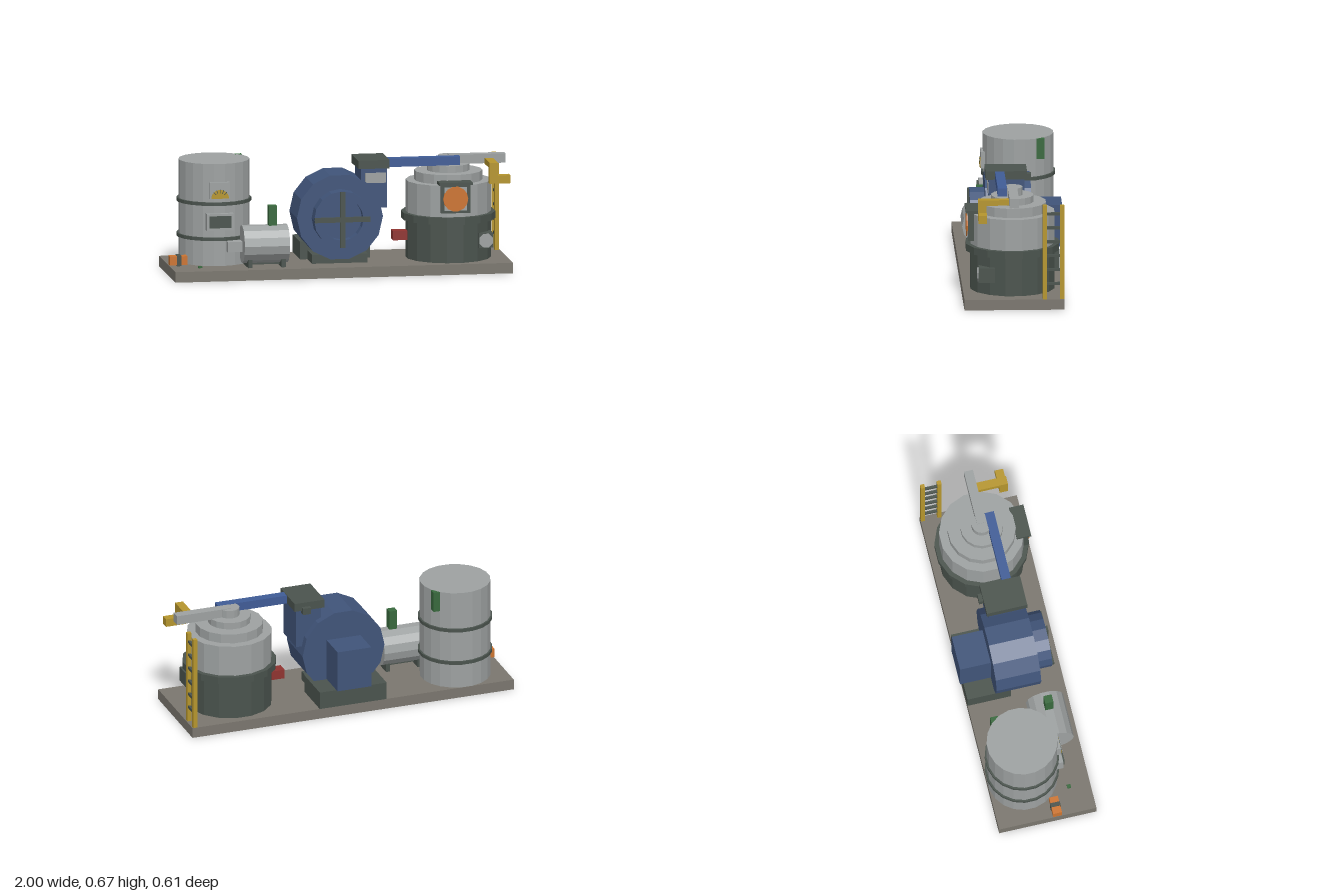
import * as THREE from 'three';

const mat = (name, color) => {
  const m = new THREE.MeshStandardMaterial({ color });
  m.name = name;
  return m;
};

export function createModel() {
  const root = new THREE.Group();
  root.name = 'processSkid';
  const grey = mat('paleGrey', 0x9da1a1), dark = mat('darkGreenGrey', 0x4a534d);
  const navy = mat('motorBlue', 0x405479), blue = mat('pipeBlue', 0x405c96);
  const stone = mat('baseGrey', 0x7a766e), yellow = mat('yellow', 0xb5952d);
  const orange = mat('orange', 0xcc7430), red = mat('red', 0x8f3330);
  const green = mat('green', 0x38693d);

  const add = (name, geometry, material) => {
    const g = geometry.index ? geometry.toNonIndexed() : geometry;
    g.computeVertexNormals(); // faceted look
    const mesh = new THREE.Mesh(g, material);
    mesh.name = name;
    root.add(mesh);
    return mesh;
  };
  // Box from its lower and upper corner
  const box = (name, m, [x0, y0, z0], [x1, y1, z1]) =>
    add(name, new THREE.BoxGeometry(x1 - x0, y1 - y0, z1 - z0)
      .translate((x0 + x1) / 2, (y0 + y1) / 2, (z0 + z1) / 2), m);
  // Upright drum between two heights
  const drum = (name, m, x, z, r, y0, y1, n) =>
    add(name, new THREE.CylinderGeometry(r, r, y1 - y0, n, 1, false, Math.PI / n)
      .translate(x, (y0 + y1) / 2, z), m);
  // Drum along z between two depths
  const disc = (name, m, x, y, r, z0, z1, n) =>
    add(name, new THREE.CylinderGeometry(r, r, z1 - z0, n, 1, false, Math.PI / n)
      .rotateX(Math.PI / 2).translate(x, y, (z0 + z1) / 2), m);

  // Skid base: deck on a frame, open underneath
  const zb = -0.282, zf = 0.303, deck = 0.062;
  box('deck', stone, [-1, 0.045, zb], [1, deck, zf]);
  for (const [a, b] of [[zb, zb + 0.025], [zf - 0.025, zf]])
    box('sideSkirt', stone, [-1, 0, a], [1, 0.045, b]);
  for (const x of [-0.9875, -0.33, 0.33, 0.9875])
    box('crossBeam', stone, [x - 0.0125, 0, zb + 0.025], [x + 0.0125, 0.045, zf - 0.025]);

  // Tall tank with bands
  const tx = -0.71, tz = -0.075;
  drum('tallTank', grey, tx, tz, 0.208, deck, 0.667, 20);
  for (const y of [0.222, 0.43]) drum('tankBand', dark, tx, tz, 0.219, y - 0.01, y + 0.01, 20);
  box('tankSwitchBox', green, [-0.565, 0.545, -0.222], [-0.523, 0.667, -0.175]);

  // Gauge with a half dial
  box('gaugePanel', grey, [-0.77, 0.462, 0.1], [-0.65, 0.56, 0.145]);
  const half = new THREE.Shape().absarc(0, 0, 0.052, 0, Math.PI, false);
  add('gaugeDial', new THREE.ExtrudeGeometry(half, { depth: 0.006, bevelEnabled: false, curveSegments: 8 })
    .translate(tx, 0.464, 0.144), yellow);
  for (const a of [-0.8, -0.4, 0, 0.4, 0.8])
    add('gaugeTick', new THREE.BoxGeometry(0.004, 0.022, 0.003).translate(0, 0.044, 0)
      .rotateZ(a).translate(tx, 0.464, 0.15), dark);

  // Tank inspection door
  box('doorFrame', grey, [-0.79, 0.275, 0.1], [-0.63, 0.375, 0.155]);
  box('doorPane', dark, [-0.775, 0.292, 0.15], [-0.645, 0.362, 0.165]);

  // Horizontal tank
  add('horizontalTank', new THREE.CylinderGeometry(0.112, 0.112, 0.268, 14)
    .rotateZ(Math.PI / 2).translate(-0.449, 0.193, 0.155), grey);
  box('linkPipe', grey, [-0.67, 0.15, 0.11], [-0.58, 0.21, 0.18]);
  for (const x of [-0.545, -0.348])
    box('tankFoot', dark, [x - 0.013, deck, 0.075], [x + 0.013, 0.11, 0.235]);
  box('tankRail', dark, [-0.545, 0.072, 0.14], [-0.348, 0.085, 0.17]);
  box('valvePost', green, [-0.426, 0.29, 0.133], [-0.378, 0.418, 0.182]);

  // Small deck fittings
  box('deckPeg', green, [-0.845, deck, 0.166], [-0.823, 0.072, 0.188]);
  box('drainPipe', orange, [-1, 0.068, 0.043], [-0.895, 0.12, 0.096]);
  box('drainCollar', dark, [-0.957, deck, 0.04], [-0.932, 0.124, 0.099]);

  // Fan housing, its pedestal and the drive box behind
  const fy = 0.335;
  box('fanPedestal', dark, [-0.208, deck, -0.283], [0.208, 0.167, -0.02]);
  box('fanFoot', dark, [-0.165, deck, -0.02], [0.165, 0.115, 0.145]);
  disc('fanHousing', navy, 0, fy, 0.255, -0.118, 0.15, 14);
  box('driveBox', navy, [-0.105, 0.168, -0.303], [0.105, 0.418, -0.11]);
  const ring = new THREE.Shape().absarc(0, 0, 0.168, 0, Math.PI * 2, false);
  ring.holes.push(new THREE.Path().absarc(0, 0, 0.125, 0, Math.PI * 2, true));
  add('intakeRing', new THREE.ExtrudeGeometry(ring, { depth: 0.088, bevelEnabled: false, curveSegments: 8 })
    .translate(0, fy, 0.15), navy);
  disc('intakeBack', navy, 0, fy, 0.126, 0.14, 0.18, 16);
  box('guardBarAcross', dark, [-0.165, fy - 0.015, 0.235], [0.165, fy + 0.015, 0.25]);
  box('guardBarUpright', dark, [-0.015, fy - 0.165, 0.235], [0.015, fy + 0.165, 0.25]);

  // Outlet duct and the pipe to the vessel
  box('outletDuct', navy, [0.126, 0.382, -0.075], [0.28, 0.617, 0.135]);
  box('ductPlate', grey, [0.152, 0.53, 0.13], [0.274, 0.59, 0.139]);
  box('ductCap', dark, [0.108, 0.617, -0.09], [0.294, 0.667, 0.153]);
  box('ductLug', dark, [0.2, 0.6, -0.115], [0.25, 0.64, -0.075]);
  box('transferPipe', blue, [0.29, 0.615, 0.043], [0.722, 0.665, 0.098]);

  // Stepped vessel: radius, bottom, top
  const vx = 0.665, vz = 0.011;
  drum('vesselBase', dark, vx, vz, 0.251, deck, 0.295, 16);
  drum('vesselFlange', dark, vx, vz, 0.277, 0.292, 0.334, 16);
  for (const [r, y0, y1] of [[0.25, 0.334, 0.52], [0.2, 0.52, 0.576], [0.125, 0.576, 0.616], [0.06, 0.616, 0.664]])
    drum('vesselTier', grey, vx, vz, r, y0, y1, 16);
  box('topPipe', grey, [vx, 0.612, -0.016], [1, 0.667, 0.039]);
  box('redCoupling', red, [0.333, 0.17, -0.026], [0.43, 0.225, 0.042]);

  // Round sight window in a hooded frame
  box('windowFrame', dark, [0.58, 0.36, 0.2], [0.755, 0.53, 0.272]);
  box('windowHood', dark, [0.567, 0.527, 0.2], [0.765, 0.543, 0.286]);
  box('windowPlate', grey, [0.598, 0.375, 0.27], [0.732, 0.515, 0.276]);
  disc('windowGlass', orange, 0.665, 0.445, 0.074, 0.27, 0.281, 14);

  // Lower hatch
  box('hatchFrame', dark, [0.812, 0.14, 0.12], [0.898, 0.228, 0.216]);
  disc('hatchCover', grey, 0.855, 0.184, 0.043, 0.21, 0.222, 8);

  // Cranked yellow pipe
  box('yellowPipeTop', yellow, [0.876, 0.61, 0.04], [0.925, 0.643, 0.22]);
  box('yellowPipeDrop', yellow, [0.876, 0.52, 0.17], [0.925, 0.61, 0.22]);
  box('yellowPipeOutlet', yellow, [0.925, 0.52, 0.17], [1, 0.568, 0.22]);

  // Ladder
  for (const z of [-0.1685, -0.2685])
    box('ladderRail', yellow, [0.97, deck, z - 0.0125], [0.995, 0.626, z + 0.0125]);
  for (let i = 0; i < 6; i++) {
    const y = 0.154 + i * 0.0836;
    box('ladderRung', dark, [0.975, y - 0.008, -0.26], [0.99, y + 0.008, -0.178]);
  }
  return root;
}
